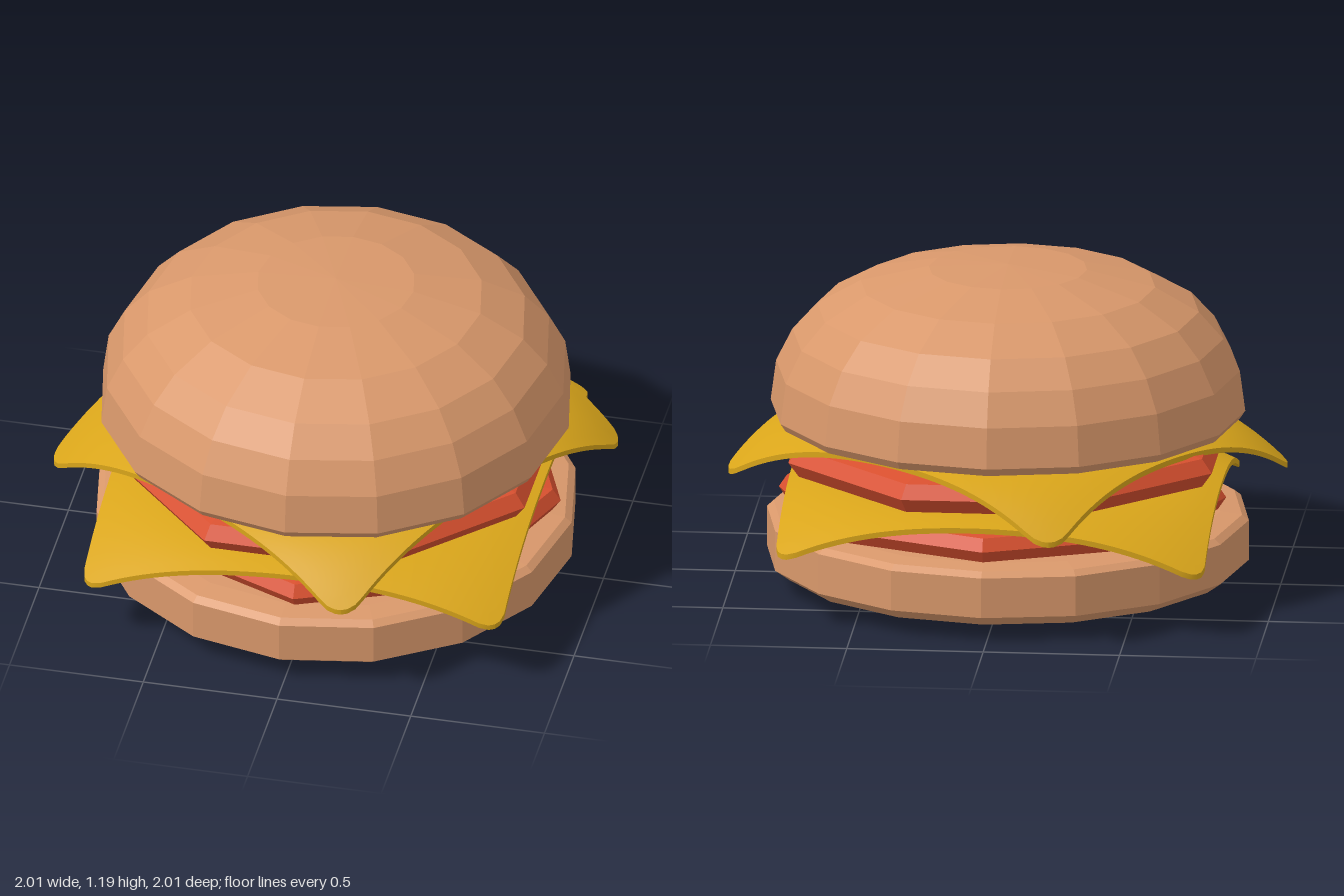
import * as THREE from 'three';

const mat = (color, flatShading) => new THREE.MeshStandardMaterial({ color, flatShading });

// Faceted round part from a bottom-to-top [radius, height] profile
function turned(name, profile, sides, material) {
  const pts = profile.map(([r, y]) => new THREE.Vector2(r, y));
  const mesh = new THREE.Mesh(new THREE.LatheGeometry(pts, sides), material);
  mesh.name = name;
  return mesh;
}

// Thin square slice with rounded corners that droop away from the centre
function cheeseSlice(name, { half, corner, y, start, droop, turn, tilt }, material) {
  const geo = new THREE.BoxGeometry(half * 2, 0.02, half * 2, 40, 1, 40);
  const p = geo.attributes.position;
  const inner = half - corner;
  for (let i = 0; i < p.count; i++) {
    let x = p.getX(i), z = p.getZ(i);
    const dx = Math.abs(x) - inner, dz = Math.abs(z) - inner;
    if (dx > 0 && dz > 0) {
      const k = Math.max(dx, dz) / Math.hypot(dx, dz);
      x = Math.sign(x) * (inner + dx * k);
      z = Math.sign(z) * (inner + dz * k);
    }
    p.setX(i, x);
    p.setZ(i, z);
  }
  geo.rotateY(turn);
  for (let i = 0; i < p.count; i++) {
    const x = p.getX(i), z = p.getZ(i);
    const out = Math.max(0, Math.hypot(x, z) - start);
    p.setY(i, p.getY(i) + y + tilt * x - droop * out * out);
  }
  geo.computeVertexNormals();
  const mesh = new THREE.Mesh(geo, material);
  mesh.name = name;
  return mesh;
}

export function createModel() {
  const group = new THREE.Group();
  group.name = 'cheeseburger';
  const bun = mat(0xd9986b, true);
  const meat = mat(0xd9502f, true);
  const cheese = mat(0xd9a51a, false);

  // Bottom bun
  const bottomBun = turned('bottomBun', [
    [0, 0.005], [0.5, 0.015], [0.72, 0.035], [0.83, 0.06], [0.885, 0.1],
    [0.885, 0.25], [0.86, 0.27], [0.78, 0.28], [0, 0.28],
  ], 16, bun);
  bottomBun.rotation.y = -0.02;

  // Patties
  const lowerPatty = turned('lowerPatty', [
    [0, 0.27], [0.72, 0.27], [0.79, 0.285], [0.82, 0.33], [0.79, 0.375], [0.6, 0.4], [0, 0.405],
  ], 8, meat);
  lowerPatty.position.x = 0.02;
  const upperPatty = turned('upperPatty', [
    [0, 0.435], [0.72, 0.435], [0.8, 0.455], [0.84, 0.51], [0.8, 0.56], [0.6, 0.605], [0, 0.61],
  ], 8, meat);
  upperPatty.rotation.y = Math.PI / 8;

  // Cheese slices
  const lowerCheese = cheeseSlice('lowerCheese', {
    half: 0.785, corner: 0.08, y: 0.425, start: 0.6, droop: 0.72, turn: 0, tilt: 0.025,
  }, cheese);
  const upperCheese = cheeseSlice('upperCheese', {
    half: 0.758, corner: 0.1, y: 0.622, start: 0.6, droop: 1.07, turn: -0.55, tilt: 0.03,
  }, cheese);

  // Top bun
  const topBun = turned('topBun', [
    [0, 0.62], [0.8, 0.62], [0.85, 0.63], [0.87, 0.66], [0.85, 0.81], [0.79, 0.93],
    [0.7, 1.03], [0.54, 1.12], [0.29, 1.18], [0, 1.195],
  ], 16, bun);

  group.add(bottomBun, lowerPatty, lowerCheese, upperPatty, upperCheese, topBun);
  return group;
}
